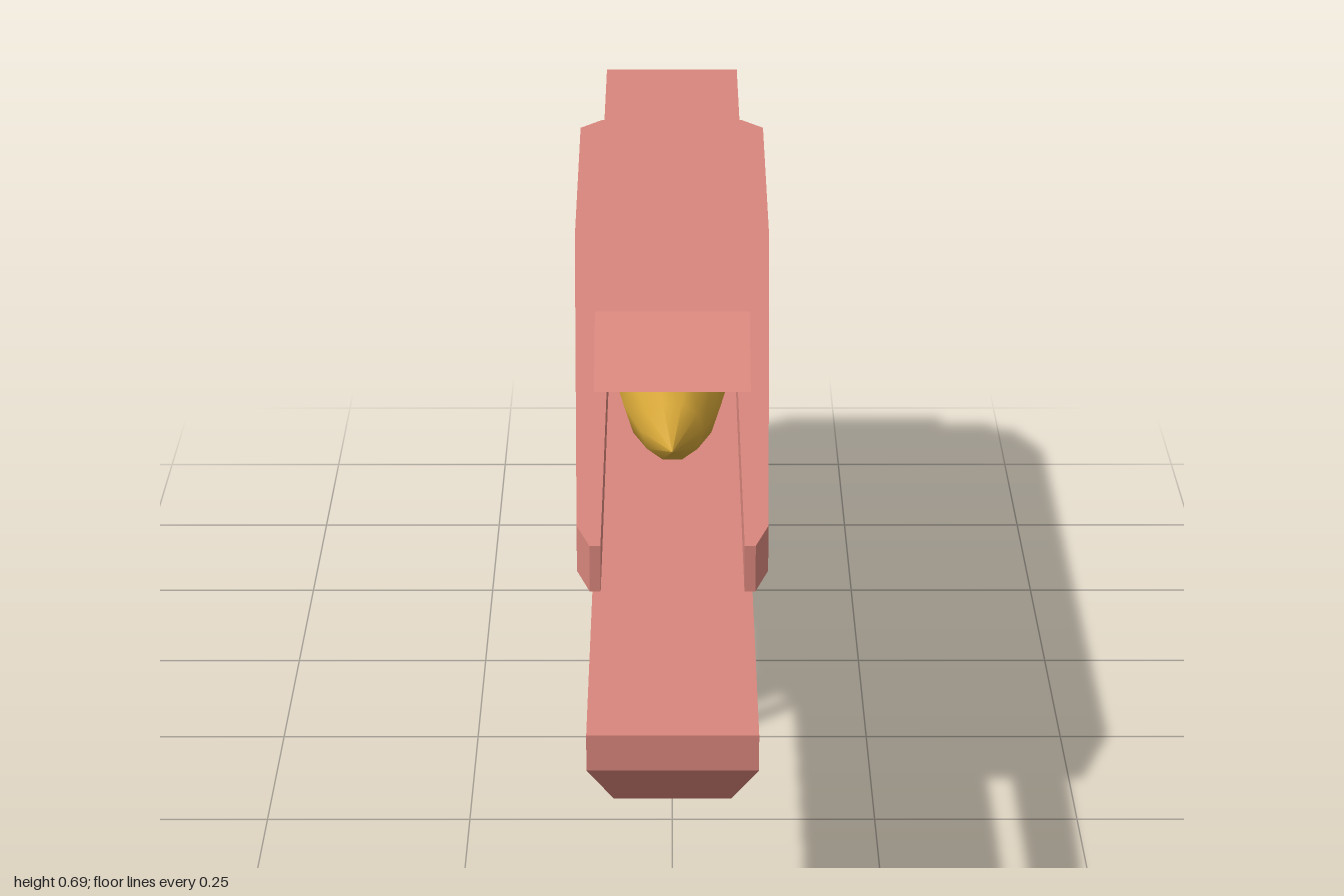
import * as THREE from 'three';

const body = new THREE.MeshStandardMaterial({ color: 0xd9867c, flatShading: true });
const gold = new THREE.MeshStandardMaterial({ color: 0xd4a537 });

function add(group, name, geometry, material = body) {
  const mesh = new THREE.Mesh(geometry, material);
  mesh.name = name;
  group.add(mesh);
  return mesh;
}

const shapeOf = (points) => new THREE.Shape(points.map(([a, b]) => new THREE.Vector2(a, b)));

// Side profile of [z, y] points, extruded to a width centred on x = 0
function sideExtrude(points, width, bevel = 0) {
  const depth = width - 2 * bevel;
  const geometry = new THREE.ExtrudeGeometry(shapeOf(points), {
    depth, bevelEnabled: bevel > 0, bevelSize: bevel, bevelThickness: bevel,
    bevelOffset: -bevel, bevelSegments: 1,
  });
  return geometry.translate(0, 0, -depth / 2).rotateY(-Math.PI / 2);
}

// Skin over mirrored sections, ordered front to back; each lists [x, y, z] from top to bottom
function loft(sections) {
  const pos = [];
  const quad = (a, b, c, d) => pos.push(...a, ...b, ...c, ...a, ...c, ...d);
  const flip = ([x, y, z]) => [-x, y, z];
  const rings = sections.map((s) => [...s, ...s.map(flip).reverse()]);
  for (let k = 0; k + 1 < rings.length; k++) {
    const p = rings[k], q = rings[k + 1];
    for (let i = 0; i < p.length; i++) {
      const j = (i + 1) % p.length;
      quad(p[i], p[j], q[j], q[i]);
    }
  }
  const front = sections[0], back = sections[sections.length - 1];
  for (let i = 0; i + 1 < front.length; i++) {
    quad(front[i], flip(front[i]), flip(front[i + 1]), front[i + 1]);
    quad(back[i], back[i + 1], flip(back[i + 1]), flip(back[i]));
  }
  const geometry = new THREE.BufferGeometry();
  geometry.setAttribute('position', new THREE.Float32BufferAttribute(pos, 3));
  geometry.computeVertexNormals();
  return geometry;
}

export function createModel() {
  const model = new THREE.Group();
  model.name = 'launcher';

  // Overhanging cover with its rear block
  add(model, 'topCover', sideExtrude([
    [0.43, 0.626], [0.33, 0.69], [-0.725, 0.69], [-0.85, 0.63],
    [-0.85, 0.44], [-0.345, 0.44], [-0.345, 0.626],
  ], 0.18));

  // Long lower beam with a sloped nose
  add(model, 'lowerBeam', loft([
    [[0.09, 0.45, 1], [0.09, 0.41, 1], [0.063, 0.327, 0.89]],
    [[0.09, 0.45, -0.4], [0.09, 0.41, -0.4], [0.063, 0.327, -0.4]],
  ]));

  // Wider rear housing, rising to a narrow hump at the back
  const housing = (z, topX = 0.09, topY = 0.45) =>
    [[topX, topY, z], [0.105, 0.425, z], [0.105, 0.315, z], [0.063, 0.27, z]];
  add(model, 'rearHousing', loft([
    [[0.09, 0.45, -0.345], [0.105, 0.425, -0.345], [0.105, 0.316, -0.345], [0.1, 0.315, -0.345]],
    housing(-0.62),
    housing(-0.85),
    housing(-0.89, 0.043, 0.545),
    [[0.043, 0.545, -0.945], [0.105, 0.425, -1], [0.105, 0.315, -1], [0.063, 0.27, -0.98]],
  ]));

  // U-shaped side rails joined behind the cover
  const outer = [[0.1, -0.9], [0.13, -0.86], [0.128, -0.35], [0.105, 0.7], [0.09, 0.76]];
  const inner = [[0.078, 0.76], [0.078, -0.84]];
  const half = [...outer, ...inner];
  const rails = new THREE.ExtrudeGeometry(
    shapeOf([...half, ...half.map(([x, z]) => [-x, z]).reverse()]),
    { depth: 0.053, bevelEnabled: false });
  add(model, 'sideRails', rails.rotateX(Math.PI / 2).translate(0, 0.567, 0));

  // Ten-sided rocket, profile as [radius, z] from tail to tip
  const profile = [
    [0, -0.35], [0.068, -0.35], [0.068, -0.318], [0.08, -0.315], [0.082, -0.15],
    [0.077, 0.06], [0.058, 0.22], [0.037, 0.31], [0, 0.38],
  ].map(([r, z]) => new THREE.Vector2(r, z));
  const rocket = new THREE.LatheGeometry(profile, 10, Math.PI / 10);
  add(model, 'rocket', rocket.rotateX(Math.PI / 2).translate(0, 0.534, 0), gold);

  // Underbody with the rear grip, edges chamfered
  add(model, 'underbodyGrip', sideExtrude([
    [0.08, 0.345], [0.06, 0.328], [-0.06, 0.225], [-0.32, 0.225], [-0.345, 0.012],
    [-0.425, 0.012], [-0.515, 0.185], [-0.62, 0.235], [-0.79, 0.258],
    [-0.93, 0.25], [-0.93, 0.29], [-0.5, 0.345],
  ], 0.114, 0.011));

  // Round front handle with a flared foot
  const handleProfile = [[0, 0], [0.047, 0], [0.047, 0.012], [0.041, 0.035], [0.041, 0.25]]
    .map(([r, y]) => new THREE.Vector2(r, y));
  const handle = add(model, 'frontHandle', new THREE.LatheGeometry(handleProfile, 20),
    new THREE.MeshStandardMaterial({ color: 0xd9867c }));
  handle.position.set(0, 0.009, -0.062);
  handle.rotation.x = -0.15;

  // Bent trigger lever ahead of the handle
  add(model, 'triggerLever', sideExtrude([
    [0.003, 0.29], [0.022, 0.15], [0.065, 0.062], [0.05, 0.056], [0.006, 0.145], [-0.012, 0.29],
  ], 0.022));

  return model;
}
